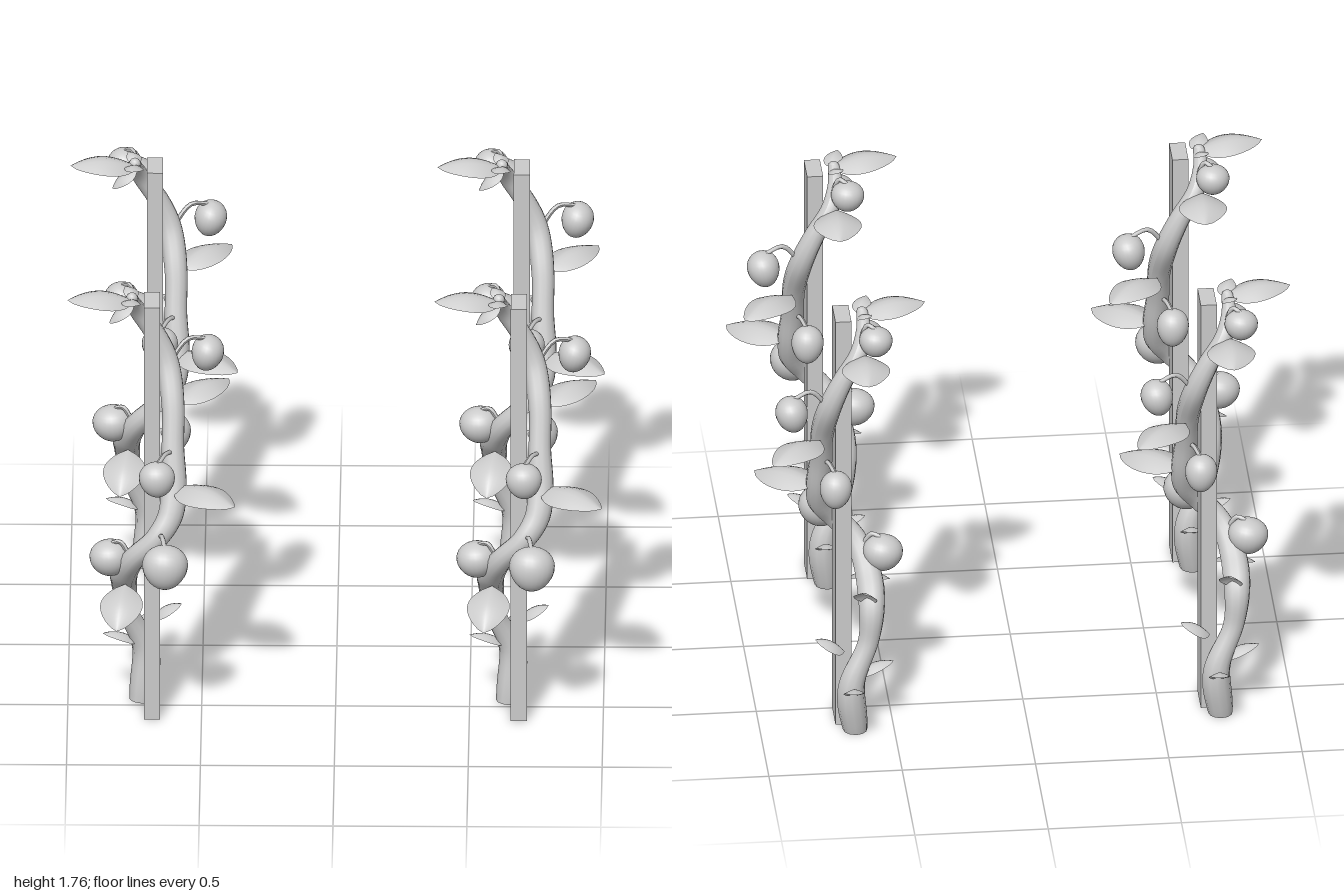
import * as THREE from 'three';

const mat = new THREE.MeshStandardMaterial({ color: 0xcccccc });
const leafMat = new THREE.MeshStandardMaterial({ color: 0xcccccc, side: THREE.DoubleSide });
const V = (p) => new THREE.Vector3(...p);

function add(parent, geometry, name, material = mat) {
  const mesh = new THREE.Mesh(geometry, material);
  mesh.name = name;
  parent.add(mesh);
  return mesh;
}

// Tube whose radius follows radiusAt(t) along a smooth path
function taperedTube(points, radiusAt, segments, sides) {
  const path = new THREE.CatmullRomCurve3(points.map(V));
  const geo = new THREE.TubeGeometry(path, segments, 1, sides);
  const pos = geo.attributes.position, v = new THREE.Vector3();
  for (let i = 0; i <= segments; i++) {
    const centre = path.getPointAt(i / segments);
    for (let j = 0; j <= sides; j++) {
      const k = i * (sides + 1) + j;
      v.fromBufferAttribute(pos, k).sub(centre).multiplyScalar(radiusAt(i / segments)).add(centre);
      pos.setXYZ(k, v.x, Math.max(0, v.y), v.z);
    }
  }
  geo.computeVertexNormals();
  return geo;
}

// Pointed oval leaf, arched from base to tip with drooping edges
function leafGeometry(base, tip, width) {
  const a = V(base), dir = V(tip).sub(a), len = dir.length();
  const side = new THREE.Vector3().crossVectors(dir, new THREE.Vector3(0, 1, 0)).normalize();
  const up = new THREE.Vector3().crossVectors(side, dir).normalize();
  const geo = new THREE.PlaneGeometry(2, 1, 8, 14);
  const pos = geo.attributes.position, v = new THREE.Vector3();
  for (let i = 0; i < pos.count; i++) {
    const s = pos.getX(i), t = pos.getY(i) + 0.5;
    const half = (width / 2) * Math.pow(Math.sin(Math.PI * Math.pow(t, 0.85)), 0.75);
    const lift = 0.13 * len * Math.sin(Math.PI * t) - 0.4 * half * Math.pow(Math.abs(s), 1.4);
    v.copy(a).addScaledVector(dir, t).addScaledVector(side, s * half).addScaledVector(up, lift);
    pos.setXYZ(i, v.x, v.y, v.z);
  }
  geo.computeVertexNormals();
  return geo;
}

// Egg-shaped fruit, broader at the top
function fruitGeometry([rx, ry, rz]) {
  const geo = new THREE.SphereGeometry(1, 24, 16);
  const pos = geo.attributes.position;
  for (let i = 0; i < pos.count; i++) {
    const y = pos.getY(i), k = 1 + 0.12 * y;
    pos.setXYZ(i, pos.getX(i) * k * rx, y * ry, pos.getZ(i) * k * rz);
  }
  geo.computeVertexNormals();
  return geo;
}

// Winding stem around the post
const VINE = [
  [-0.04, 0, -0.11], [-0.025, 0.2, -0.13], [-0.09, 0.37, -0.105], [-0.105, 0.5, -0.085],
  [-0.1, 0.6, 0.02], [-0.06, 0.7, 0.1], [0.02, 0.79, 0.122], [0.07, 0.87, 0.09],
  [0.082, 0.97, 0.045], [0.078, 1.1, 0], [0.078, 1.25, -0.06], [0.055, 1.4, -0.135],
  [0.01, 1.51, -0.145], [-0.05, 1.61, -0.125], [-0.075, 1.68, -0.07], [-0.075, 1.725, -0.01],
];

// Leaves: base, tip, width
const LEAVES = [
  [[-0.07, 1.72, 0], [-0.315, 1.735, 0.03], 0.17],
  [[-0.06, 1.72, -0.03], [-0.1, 1.74, -0.08], 0.06],
  [[-0.06, 1.72, 0.0], [-0.1, 1.74, 0.09], 0.07],
  [[-0.07, 1.7, -0.02], [-0.16, 1.63, 0.01], 0.09],
  [[0.09, 1.24, -0.11], [0.285, 1.245, -0.3], 0.16],
  [[0.09, 0.97, 0.05], [0.31, 0.955, 0.195], 0.19],
  [[-0.1, 0.56, 0.05], [-0.13, 0.455, 0.235], 0.16],
  [[-0.07, 1.61, -0.13], [-0.07, 1.59, -0.345], 0.18],
  [[0, 0.34, -0.12], [0.11, 0.395, -0.12], 0.1],
  [[-0.05, 0.235, -0.12], [-0.185, 0.28, -0.1], 0.08],
  [[-0.025, 0.18, -0.17], [-0.025, 0.26, -0.315], 0.08],
  [[-0.09, 0.53, -0.09], [-0.06, 0.615, -0.18], 0.09],
];

// Fruits: centre, radii, stalk start on the stem
const FRUITS = [
  [[0.051, 0.745, 0.278], [0.085, 0.085, 0.073], [0.03, 0.8, 0.13]],
  [[-0.157, 0.665, 0.04], [0.075, 0.07, 0.07], [-0.08, 0.68, 0.07]],
  [[0.02, 1.04, 0.135], [0.067, 0.068, 0.06], [0.075, 1.1, 0.02]],
  [[0.035, 1.04, -0.135], [0.06, 0.073, 0.06], [0.07, 1.1, -0.01]],
  [[0.205, 1.405, -0.195], [0.06, 0.07, 0.067], [0.06, 1.39, -0.13]],
  [[-0.115, 1.665, -0.135], [0.062, 0.058, 0.06], [-0.06, 1.66, -0.1]],
];

function createClimber() {
  const plant = new THREE.Group();
  plant.name = 'climbingPlant';

  add(plant, new THREE.BoxGeometry(0.06, 1.72, 0.13), 'post').position.set(0, 0.86, -0.005);

  const vineRadius = (t) => 0.046 + 0.008 * Math.sin(t * 26) * (1 - t) - 0.024 * Math.pow(t, 8);
  add(plant, taperedTube(VINE, vineRadius, 90, 12), 'vine');
  const cap = add(plant, new THREE.CircleGeometry(vineRadius(0), 12), 'vineBase');
  cap.rotation.x = Math.PI / 2;
  cap.position.set(...VINE[0]);
  add(plant, new THREE.SphereGeometry(vineRadius(1), 12, 8), 'vineTip').position.set(...VINE.at(-1));

  for (const [base, tip, width] of LEAVES) {
    add(plant, leafGeometry(base, tip, width), 'leaf', leafMat);
  }

  for (const [centre, radii, start] of FRUITS) {
    const fruit = add(plant, fruitGeometry(radii), 'fruit');
    fruit.position.set(...centre);
    // Lean away from the stem
    fruit.rotation.set((start[2] - centre[2]) * 1.5, 0, (centre[0] - start[0]) * -1.5);
    // Arched stalk from the stem to the fruit top
    const top = [centre[0], centre[1] + radii[1] * 0.85, centre[2]];
    const mid = start.map((c, i) => (c + top[i]) / 2);
    mid[1] = Math.max(start[1], top[1]) + 0.015;
    add(plant, taperedTube([start, mid, top], () => 0.009, 10, 6), 'fruitStalk');
  }
  return plant;
}

export function createModel() {
  const model = new THREE.Group();
  model.name = 'climbingPlantPosts';
  const plant = createClimber();
  for (const x of [-0.685, 0.685]) {
    for (const z of [-0.56, 0.56]) {
      const copy = plant.clone();
      copy.position.set(x, 0, z);
      model.add(copy);
    }
  }
  return model;
}
